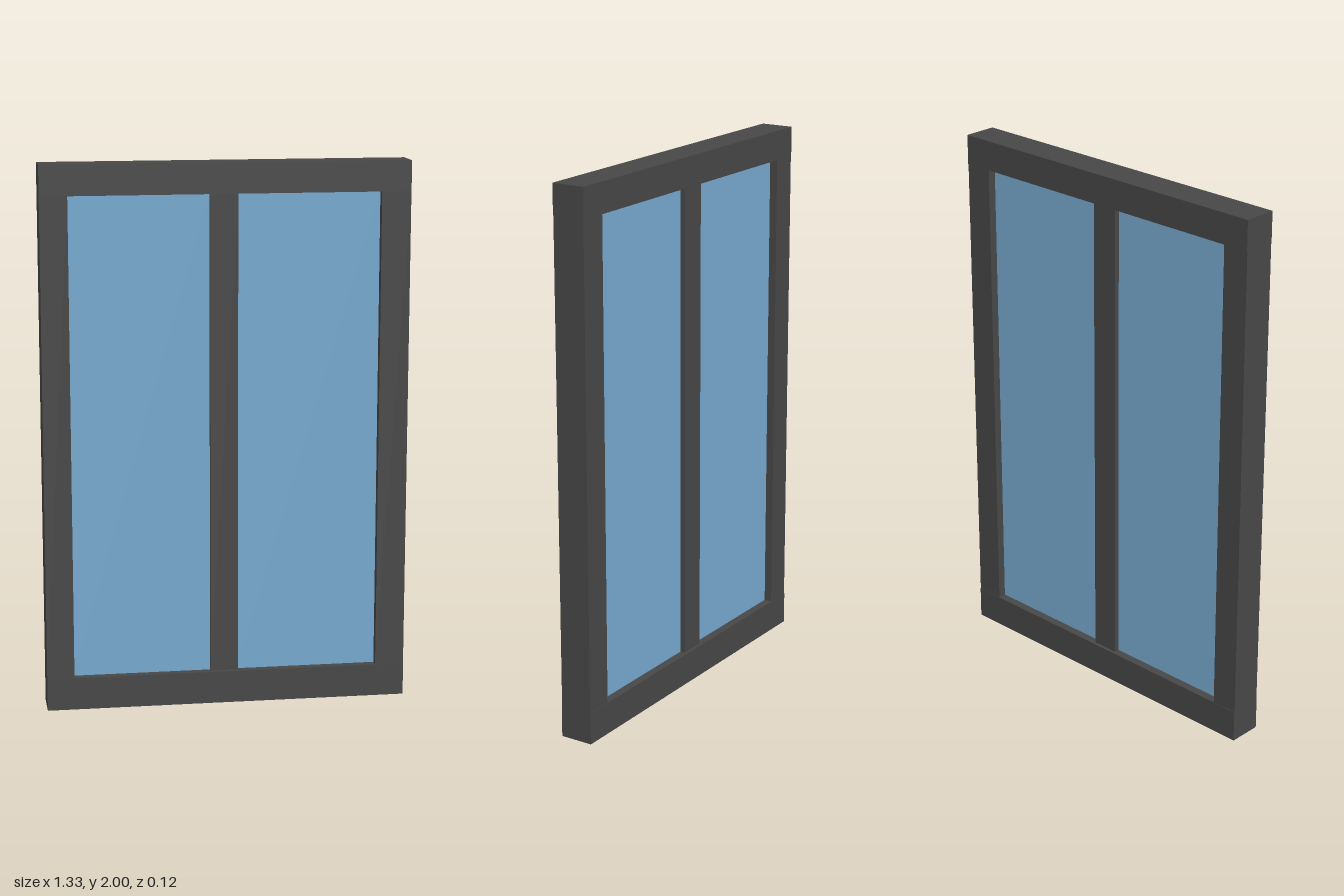
import * as THREE from 'three';

export function createModel() {
  const model = new THREE.Group();
  model.name = 'window';

  const frame = new THREE.MeshStandardMaterial({ color: 0x474747 });
  frame.name = 'dark grey frame';
  const glass = new THREE.MeshStandardMaterial({ color: 0x77a9cf });
  glass.name = 'blue glass';

  // Box given by its extents on each axis
  function slab(name, material, [x0, x1], [y0, y1], [z0, z1]) {
    const mesh = new THREE.Mesh(new THREE.BoxGeometry(x1 - x0, y1 - y0, z1 - z0), material);
    mesh.position.set((x0 + x1) / 2, (y0 + y1) / 2, (z0 + z1) / 2);
    mesh.name = name;
    model.add(mesh);
  }

  const opening = [0.12, 1.89];

  // Rails, a hair deeper than the stiles
  slab('bottomRail', frame, [-0.667, 0.667], [0, 0.12], [-0.0625, 0.0625]);
  slab('topRail', frame, [-0.667, 0.667], [1.89, 2], [-0.0625, 0.0625]);

  // Upright stiles
  slab('rightStile', frame, [-0.667, -0.567], opening, [-0.061, 0.061]);
  slab('leftStile', frame, [0.56, 0.667], opening, [-0.061, 0.061]);

  // Central mullion, set back slightly from the frame faces
  slab('mullion', frame, [-0.06, 0.042], opening, [-0.05, 0.045]);

  // Glass panes
  slab('rightPane', glass, [-0.567, -0.06], opening, [-0.031, 0.031]);
  slab('leftPane', glass, [0.042, 0.56], opening, [-0.031, 0.031]);

  return model;
}
